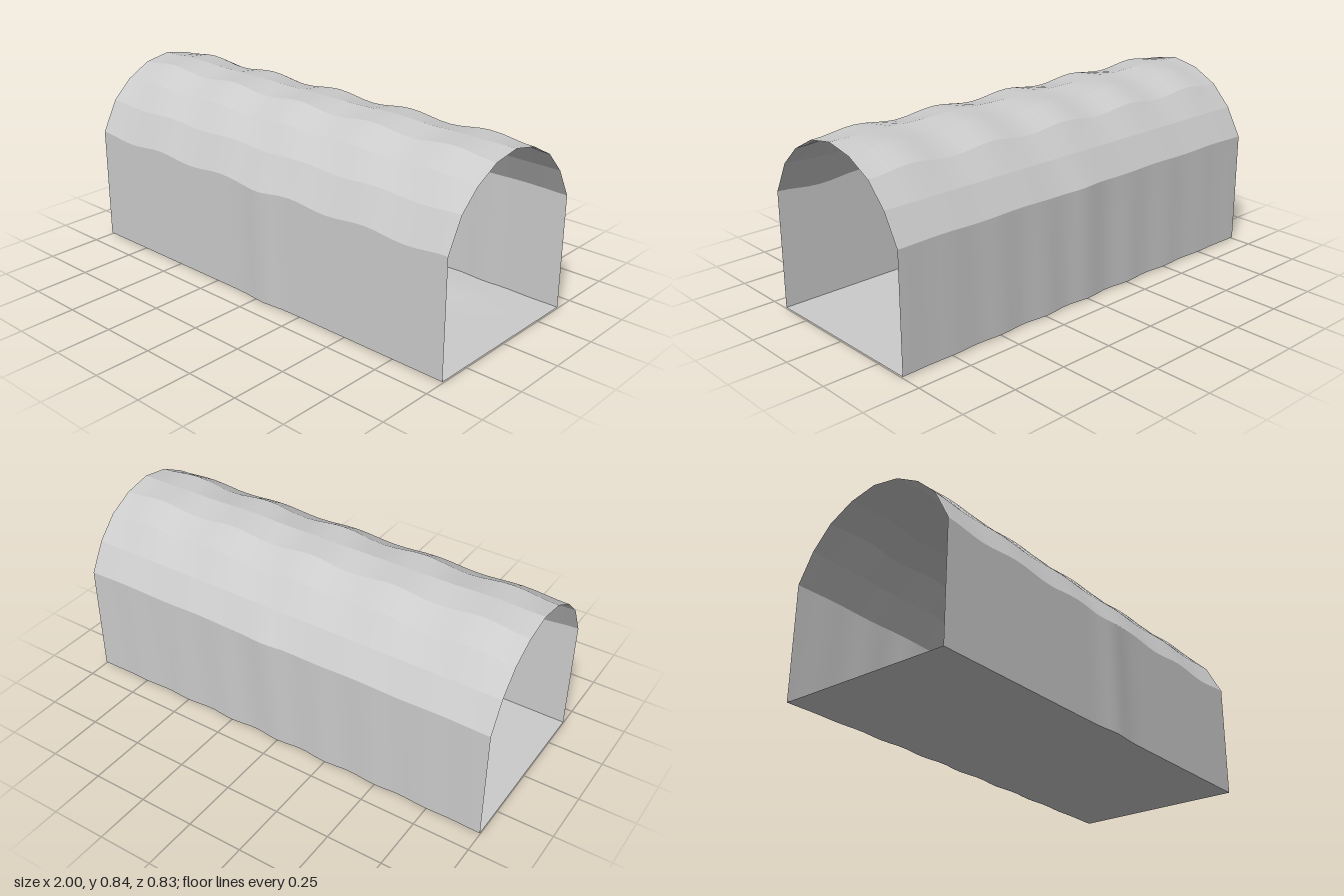
import * as THREE from 'three';

const STEPS = 40; // stations along the length
const bump = (x, centre, width) => Math.exp(-(((x - centre) / width) ** 2));
const wave = (x) => Math.cos(x * Math.PI * 5); // five ripples over the length

// Arch cross-section, front foot to back foot: z, y, ripple height
const PROFILE = [
  [0.403, 0.006, 0], [0.403, 0.518, -0.008], [0.33, 0.66, -0.005],
  [0.24, 0.755, 0.006], [0.127, 0.819, 0.01], [0, 0.83, 0],
  [-0.125, 0.814, 0.01], [-0.24, 0.752, 0.009], [-0.33, 0.648, 0],
  [-0.402, 0.521, 0.002], [-0.402, 0.006, 0],
];

// Point i of the cross-section at position x
function archPoint(i, x) {
  let [z, y, ripple] = PROFILE[i];
  y += ripple * wave(x);
  if (i < 2) z += 0.012 * bump(x, 0.05, 0.08);
  if (i === 5) y += 0.006 * (bump(x, -0.78, 0.12) + bump(x, 0.4, 0.12));
  if (i === 9) z -= 0.012 * bump(x, 0.05, 0.08);
  if (i === 10) z += 0.006 * (1 - Math.cos(x * Math.PI * 8)) * (1 - x * x);
  return [x, y, z];
}

// Gently buckled floor; v runs from the front edge to the back edge
function floorPoint(v, x) {
  const front = archPoint(0, x)[2], back = archPoint(10, x)[2];
  const z = back + (front - back) * (1 - v);
  const y = 0.006 + 0.010 * bump(x, 0.45, 0.25) * bump(z, -0.26, 0.08)
    - 0.006 * bump(x, -0.05, 0.08) * bump(z, -0.2, 0.1)
    + 0.004 * bump(x, 0, 0.4) * bump(z, 0.1, 0.12);
  return [x, y, z];
}

// Sheet through a grid of points: pointAt(row, x)
function sheet(name, rows, pointAt, material) {
  const pos = [], index = [];
  for (let r = 0; r <= rows; r++) {
    for (let s = 0; s <= STEPS; s++) {
      pos.push(...pointAt(r, -1 + (2 * s) / STEPS));
      if (r < rows && s < STEPS) {
        const a = r * (STEPS + 1) + s, b = a + STEPS + 1;
        index.push(a, a + 1, b, a + 1, b + 1, b);
      }
    }
  }
  const geo = new THREE.BufferGeometry();
  geo.setAttribute('position', new THREE.Float32BufferAttribute(pos, 3));
  geo.setIndex(index);
  geo.computeVertexNormals();
  const mesh = new THREE.Mesh(geo, material);
  mesh.name = name;
  return mesh;
}

export function createModel() {
  const material = new THREE.MeshStandardMaterial({ color: 0xcccccc, side: THREE.DoubleSide });
  const tunnel = new THREE.Group();
  tunnel.name = 'tunnel';

  // Walls and roof: one strip per facet, so creases stay sharp across the arch
  const last = PROFILE.length - 2;
  for (let i = 0; i <= last; i++) {
    const name = i === 0 ? 'frontWall' : i === last ? 'backWall' : `roofPanel${i}`;
    tunnel.add(sheet(name, 1, (r, x) => archPoint(i + r, x), material));
  }

  // Floor, facing up
  tunnel.add(sheet('floor', 12, (r, x) => floorPoint(r / 12, x), material));
  return tunnel;
}
